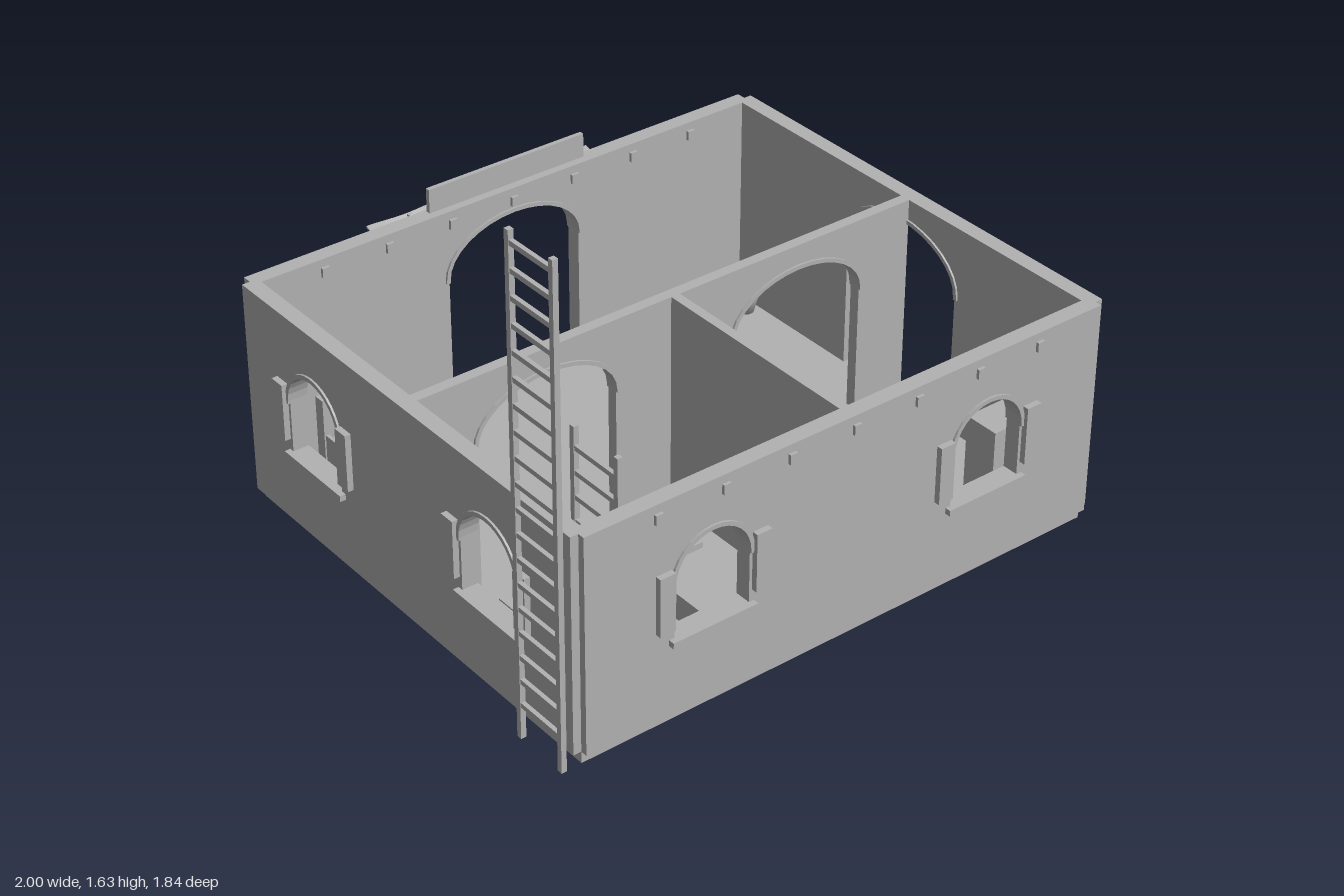
import * as THREE from 'three';

const grey = new THREE.MeshStandardMaterial({ color: 0xb2b2b2 });
grey.name = 'plaster grey';
const greySheet = grey; // single flat colour throughout

const FLOOR = 0.04, TOP = 0.77;
const DOOR = { w: 0.25, y0: FLOOR, spring: 0.53, rise: 0.158 };
const WINDOW = { w: 0.132, y0: 0.3, spring: 0.48, rise: 0.13 };

function add(parent, name, geometry) {
  const mesh = new THREE.Mesh(geometry, grey);
  mesh.name = name;
  parent.add(mesh);
  return mesh;
}

// Box given by its min and max corners
function box(parent, name, x0, x1, y0, y1, z0, z1) {
  const mesh = add(parent, name, new THREE.BoxGeometry(x1 - x0, y1 - y0, z1 - z0));
  mesh.position.set((x0 + x1) / 2, (y0 + y1) / 2, (z0 + z1) / 2);
  return mesh;
}

function group(parent, name) {
  const g = new THREE.Group();
  g.name = name;
  parent.add(g);
  return g;
}

// Points of an arch from its left foot over the top to its right foot
function archPoints(cx, o, grow = 0, foot = o.y0) {
  const pts = [new THREE.Vector2(cx - o.w - grow, foot)];
  for (let i = 0; i <= 16; i++) {
    const a = Math.PI * (1 - i / 16);
    pts.push(new THREE.Vector2(cx + Math.cos(a) * (o.w + grow), o.spring + Math.sin(a) * (o.rise + grow)));
  }
  pts.push(new THREE.Vector2(cx + o.w + grow, foot));
  return pts;
}

// Wall with its outer face on local z = 0; doors are notches, windows are holes
function wall(parent, name, x0, x1, depth, doors = [], windows = []) {
  const g = group(parent, name);
  const pts = [new THREE.Vector2(x0, FLOOR)];
  doors.forEach((cx) => pts.push(...archPoints(cx, DOOR)));
  pts.push(new THREE.Vector2(x1, FLOOR), new THREE.Vector2(x1, TOP), new THREE.Vector2(x0, TOP));
  const shape = new THREE.Shape(pts);
  windows.forEach((cx) => shape.holes.push(new THREE.Path(archPoints(cx, WINDOW))));
  add(g, 'wallPanel', new THREE.ExtrudeGeometry(shape, { depth, bevelEnabled: false })).position.z = -depth;

  const trim = (cx, o) => {
    const ring = new THREE.Shape([
      ...archPoints(cx, o, 0.014, o.spring - 0.01),
      ...archPoints(cx, o, 0, o.spring - 0.01).reverse(),
    ]);
    add(g, 'archTrim', new THREE.ExtrudeGeometry(ring, { depth: depth + 0.014, bevelEnabled: false })).position.z = -depth - 0.007;
  };
  doors.forEach((cx) => trim(cx, DOOR));
  windows.forEach((cx) => {
    trim(cx, WINDOW);
    box(g, 'windowSill', cx - 0.15, cx + 0.15, 0.28, 0.3, -0.01, 0.02);
    for (const s of [-1, 1]) {
      const c = cx + s * 0.169;
      box(g, 'shutter', c - 0.027, c + 0.027, 0.34, 0.535, -0.005, 0.02);
    }
  });
  return g;
}

function place(g, x, z, turn) {
  g.position.set(x, 0, z);
  g.rotation.y = turn;
  return g;
}

// Ladder lying in the z-y plane
function ladder(parent, name, x, z0, z1, y0, y1, firstRung) {
  const g = group(parent, name);
  const t = 0.018;
  box(g, 'ladderRail', x, x + t, y0, y1, z0, z0 + t);
  box(g, 'ladderRail', x, x + t, y0, y1, z1 - t, z1);
  for (let y = firstRung; y > y0 + 0.04; y -= 0.082) {
    box(g, 'ladderRung', x + 0.002, x + t - 0.002, y - 0.008, y + 0.008, z0 + t, z1 - t);
  }
}

export function createModel() {
  const house = new THREE.Group();
  house.name = 'house';

  box(house, 'floorSlab', -0.93, 0.963, 0, FLOOR, -0.75, 0.872);

  // Outer walls
  const T = 0.054;
  place(wall(house, 'frontWall', -0.93, 0.963, T, [], [-0.493, 0.528]), 0, 0.895, 0);
  place(wall(house, 'backWall', -0.963, 0.93, T, [-0.015]), 0, -0.782, Math.PI);
  place(wall(house, 'rightWall', -0.75, 0.872, T, [], [-0.385, 0.49]), -0.957, 0, -Math.PI / 2);
  place(wall(house, 'leftWall', -0.872, 0.75, T, [-0.06]), 0.99, 0, Math.PI / 2);

  // Room dividers
  place(wall(house, 'crossDivider', -0.905, 0.937, 0.037, [-0.456, 0.49]), 0, 0.086, 0);
  box(house, 'shortDivider', 0, 0.032, FLOOR, TOP, 0.085, 0.842);

  // Roof beam ends poking through the front and back walls
  for (let i = 0; i < 7; i++) {
    const x = -0.683 + i * 0.2335;
    for (const z of [0.868, -0.755]) box(house, 'beamEnd', x - 0.013, x + 0.013, 0.71, 0.742, z - 0.037, z + 0.037);
  }

  // Sign board standing on the back wall
  box(house, 'signBoard', -0.28, 0.31, 0.765, 0.852, -0.772, -0.756);

  // Wavy cloth awning over the back door, as a closed thin sheet
  const awning = group(house, 'awning');
  const cloth = new THREE.BoxGeometry(0.85, 0.006, 0.14, 32, 1, 8);
  const p = cloth.attributes.position;
  for (let i = 0; i < p.count; i++) {
    const u = p.getX(i) / 0.85 + 0.5, v = p.getZ(i) / 0.14 + 0.5;
    const wave = 0.011 * (Math.cos(u * Math.PI * 6) - 1);
    p.setY(i, p.getY(i) + wave * (0.3 + 0.7 * Math.sin(v * Math.PI)) - 0.012 * Math.sin(v * Math.PI));
  }
  cloth.computeVertexNormals();
  add(awning, 'awningCloth', cloth).position.set(0.018, 0.692, -0.852);
  for (const x of [-0.252, 0.285]) {
    box(awning, 'awningArm', x - 0.008, x + 0.008, 0.676, 0.69, -0.915, -0.78);
    const strut = add(awning, 'awningStrut', new THREE.BoxGeometry(0.014, 0.014, 0.155));
    strut.position.set(x, 0.642, -0.842);
    strut.rotation.x = Math.atan2(0.085, 0.12);
  }

  // Ladders
  ladder(house, 'outerLadder', -1, 0.669, 0.875, 0, 1.63, 1.594);
  ladder(house, 'innerLadder', -0.705, 0.533, 0.748, FLOOR, 0.845, 0.776);

  // Bed with headboard, blanket and pillow
  const bed = group(house, 'bed');
  box(bed, 'headboard', -0.402, -0.162, FLOOR, 0.322, 0.355, 0.372);
  box(bed, 'mattress', -0.395, -0.167, 0.09, 0.18, 0.372, 0.8);
  box(bed, 'pillow', -0.37, -0.195, 0.18, 0.2, 0.38, 0.485);
  for (const x of [-0.395, -0.187]) box(bed, 'bedLeg', x, x + 0.02, FLOOR, 0.09, 0.775, 0.795);

  // Bench with raised ends in the back room
  const bench = group(house, 'bench');
  box(bench, 'benchSeat', -0.758, -0.6, 0.1, 0.19, -0.645, -0.305);
  box(bench, 'benchHead', -0.77, -0.588, FLOOR, 0.335, -0.685, -0.645);
  box(bench, 'benchFoot', -0.765, -0.592, FLOOR, 0.23, -0.305, -0.27);
  for (const x of [-0.765, -0.604]) box(bench, 'benchRail', x, x + 0.012, 0.1, 0.21, -0.645, -0.305);

  // Cabinet in the corner
  const cabinet = group(house, 'cabinet');
  box(cabinet, 'cabinetBody', 0.63, 0.91, FLOOR, 0.42, 0.707, 0.828);
  for (const x of [0.755, 0.775]) box(cabinet, 'cabinetHandle', x - 0.005, x + 0.005, 0.22, 0.27, 0.697, 0.708);

  // Table set with cups, and a stool at its end
  const table = group(house, 'table');
  box(table, 'tableTop', -0.88, -0.755, 0.25, 0.275, 0.425, 0.81);
  for (const x of [-0.875, -0.78]) for (const z of [0.43, 0.785]) box(table, 'tableLeg', x, x + 0.02, FLOOR, 0.25, z, z + 0.02);
  for (const z of [0.51, 0.59, 0.665, 0.738]) {
    add(table, 'cup', new THREE.CylinderGeometry(0.02, 0.016, 0.03, 16)).position.set(-0.815, 0.29, z);
  }
  box(table, 'stoolSeat', -0.885, -0.77, 0.15, 0.17, 0.665, 0.78);

  // Pots with hollow mouths
  const profile = [[0, 0], [0.03, 0], [0.045, 0.06], [0.042, 0.1], [0.03, 0.13], [0.027, 0.13], [0.027, 0.04], [0, 0.03]];
  for (const x of [0.76, 0.886]) {
    const pot = add(house, 'pot', new THREE.LatheGeometry(profile.map((q) => new THREE.Vector2(...q)), 24));
    pot.position.set(x, FLOOR, -0.635);
  }
  return house;
}
